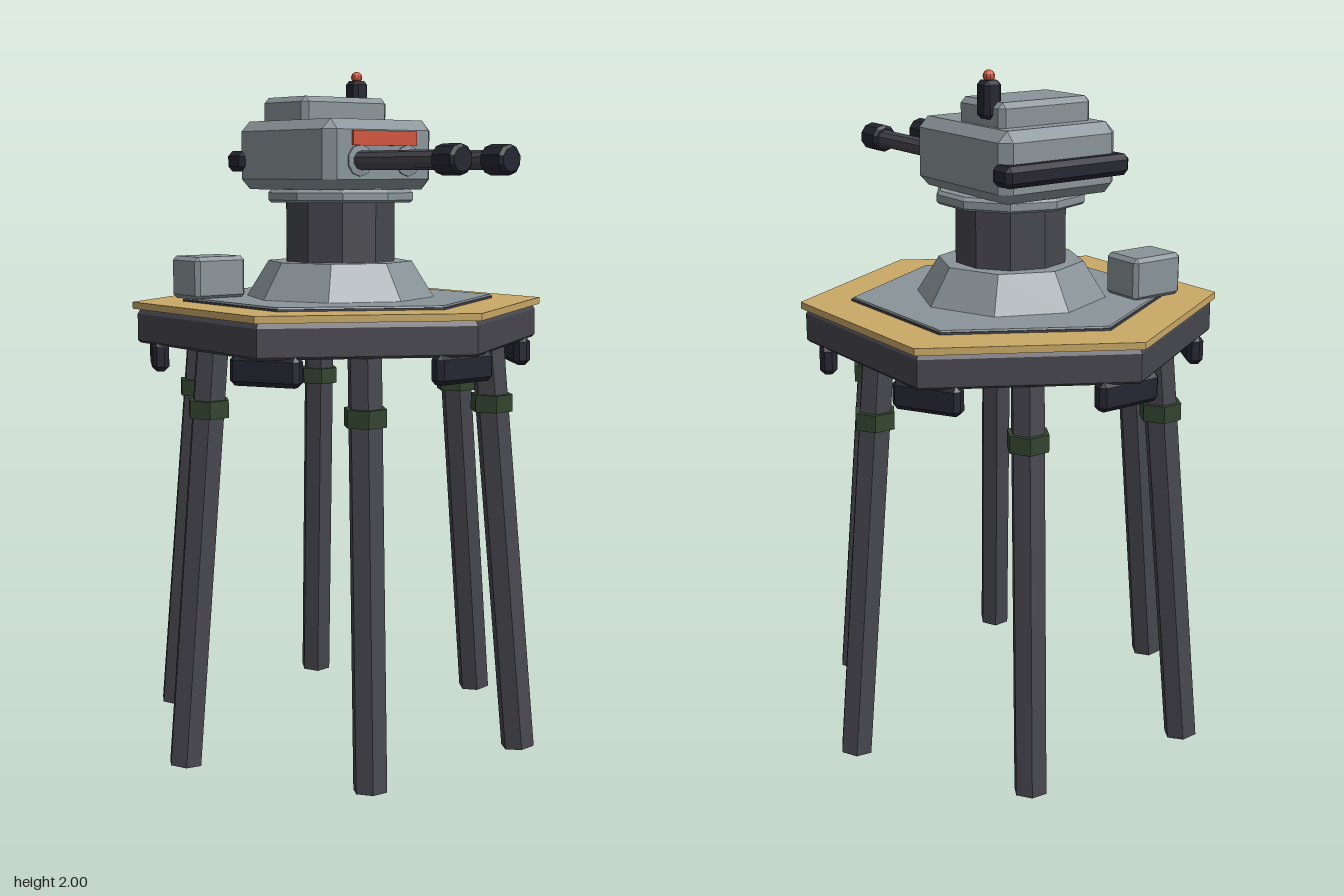
import * as THREE from 'three';
import { ConvexGeometry } from 'three/addons/geometries/ConvexGeometry.js';

const mat = (name, color) => {
  const m = new THREE.MeshStandardMaterial({ color, flatShading: true });
  m.name = name;
  return m;
};

// box with all edges chamfered by c
function chamferBox(w, h, d, c) {
  const pts = [];
  const [x, y, z] = [w / 2, h / 2, d / 2];
  for (const i of [-1, 1]) for (const j of [-1, 1]) for (const k of [-1, 1]) {
    pts.push(
      new THREE.Vector3(i * x, j * (y - c), k * (z - c)),
      new THREE.Vector3(i * (x - c), j * y, k * (z - c)),
      new THREE.Vector3(i * (x - c), j * (y - c), k * z));
  }
  return new ConvexGeometry(pts);
}

// faceted solid of revolution from [radius, y] pairs, first vertex towards +z
function prism(profile, sides) {
  return new THREE.LatheGeometry(profile.map(p => new THREE.Vector2(...p)), sides);
}

export function createModel() {
  const grey = mat('armourGrey', 0x8a9499);
  const dark = mat('darkSteel', 0x46464e);
  const navy = mat('blackNavy', 0x252531);
  const gold = mat('deckGold', 0xc9a966);
  const green = mat('collarGreen', 0x33452f);
  const red = mat('signalRed', 0xd0543c);

  const model = new THREE.Group();
  const body = new THREE.Group();
  body.name = 'turretPlatform';
  body.position.z = -0.007;
  model.add(body);

  const add = (name, geo, material, x = 0, y = 0, z = 0, parent = body) => {
    const m = new THREE.Mesh(geo, material);
    m.name = name;
    m.position.set(x, y, z);
    parent.add(m);
    return m;
  };

  // hexagonal deck: slab, gold rim, inner plate
  add('deckSlab', prism([[0, 1.2], [0.595, 1.2], [0.602, 1.207], [0.602, 1.285], [0.592, 1.3], [0, 1.3]], 6), dark);
  add('deckRim', prism([[0, 1.3], [0.616, 1.3], [0.616, 1.32], [0, 1.32]], 6), gold);
  add('plateEdge', prism([[0, 1.32], [0.468, 1.32], [0.468, 1.326], [0, 1.326]], 6), dark);
  add('deckPlate', prism([[0, 1.326], [0.463, 1.326], [0.461, 1.331], [0, 1.331]], 6), grey);

  // six splayed legs with collars, and brackets under the deck corners
  const slope = 0.11 / 1.2, tilt = Math.atan(slope), legLength = 1.2 / Math.cos(tilt);
  const legGeo = new THREE.CylinderGeometry(0.05, 0.05, legLength, 6);
  const collarGeo = new THREE.CylinderGeometry(0.063, 0.063, 0.05, 6);
  const bracketGeo = chamferBox(0.205, 0.085, 0.05, 0.014);
  for (let i = 0; i < 6; i++) {
    const legGroup = new THREE.Group();
    legGroup.name = 'legAssembly';
    legGroup.rotation.y = Math.PI / 6 + i * Math.PI / 3;
    body.add(legGroup);
    add('leg', legGeo, dark, 0, 0.605, 0.515, legGroup).rotation.x = -tilt;
    add('legCollar', collarGeo, green, 0, 1.035, 0.57 - 1.035 * slope, legGroup);

    const corner = new THREE.Group();
    corner.name = 'cornerBracket';
    corner.rotation.y = i * Math.PI / 3;
    body.add(corner);
    add('bracket', bracketGeo, navy, 0, 1.166, 0.54, corner);
  }

  // supply crate on the deck
  add('crate', chamferBox(0.175, 0.125, 0.14, 0.012), grey, -0.323, 1.39, -0.22);

  // turret base, column and bearing ring
  add('turretBase', prism([[0, 1.33], [0.282, 1.33], [0.215, 1.437], [0, 1.437]], 8), grey);
  add('column', prism([[0.167, 1.43], [0.167, 1.615]], 10), dark);
  add('bearingRing', prism([[0, 1.61], [0.215, 1.61], [0.222, 1.617], [0.222, 1.638], [0.212, 1.648], [0, 1.648]], 10), grey);
  add('neck', prism([[0.18, 1.64], [0.18, 1.67]], 10), grey);

  // gun head, roof hatch and rear counterweight
  add('head', chamferBox(0.4, 0.2, 0.452, 0.03), grey, 0, 1.747, -0.024);
  add('roofHatch', chamferBox(0.316, 0.09, 0.212, 0.016), grey, 0, 1.87, -0.07);
  add('counterweight', chamferBox(0.428, 0.06, 0.085, 0.015), navy, 0, 1.73, -0.243);

  // red sight strip
  add('sightStrip', new THREE.BoxGeometry(0.235, 0.042, 0.009), red, 0, 1.793, 0.206);

  // twin barrels along +z
  const muzzleProfile = [[0, 0.542], [0.033, 0.542], [0.042, 0.551], [0.042, 0.622], [0.033, 0.631], [0, 0.631]];
  for (const side of [-1, 1]) {
    const gun = new THREE.Group();
    gun.name = side > 0 ? 'leftGun' : 'rightGun';
    gun.position.set(side * 0.089, 1.73, 0);
    gun.rotation.x = Math.PI / 2;
    body.add(gun);
    add('barrelMount', prism([[0.045, 0.19], [0.045, 0.207], [0, 0.213]], 10), grey, 0, 0, 0, gun);
    add('barrel', prism([[0.027, 0.19], [0.027, 0.55]], 10), dark, 0, 0, 0, gun);
    add('muzzle', prism(muzzleProfile, 10), navy, 0, 0, 0, gun);
  }

  // beacon on the roof
  add('beaconPost', chamferBox(0.056, 0.105, 0.058, 0.012), navy, 0.151, 1.92, -0.108);
  add('beaconLight', new THREE.SphereGeometry(0.017, 10, 8), red, 0.151, 1.983, -0.108);

  return model;
}
